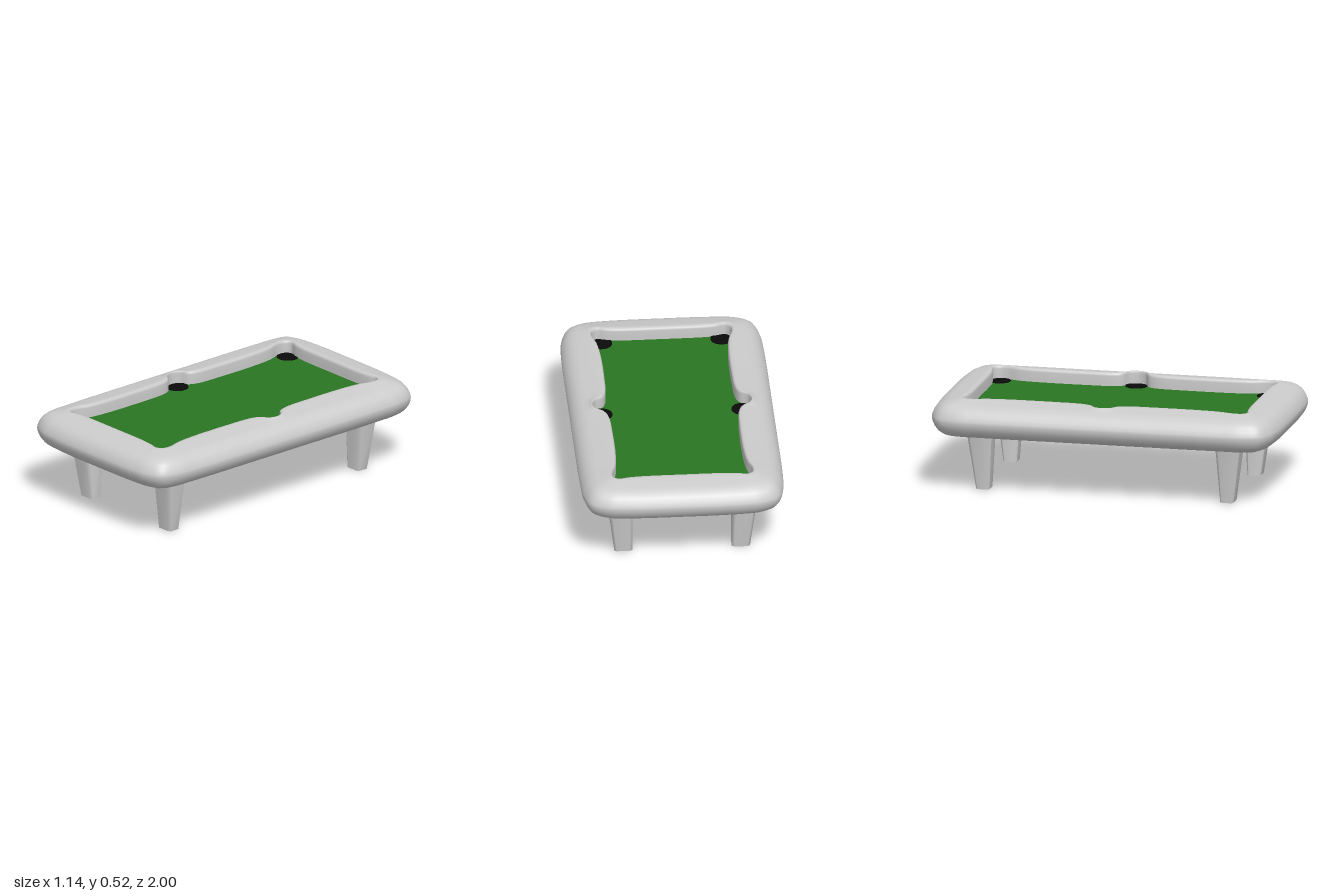
import * as THREE from 'three';

const grey = new THREE.MeshStandardMaterial({ color: 0xcccccc });
const green = new THREE.MeshStandardMaterial({ color: 0x2b7522 });
const black = new THREE.MeshStandardMaterial({ color: 0x0a0a0a });

// One quarter of the plan, from the middle pocket to the end: [inner x, inner z, outer x, outer z]
const quarter = [
  [0.445, 0, 0.572, 0], [0.43, 0.045, 0.572, 0.045], [0.385, 0.077, 0.572, 0.085],
  [0.364, 0.13, 0.572, 0.14], [0.356, 0.3, 0.572, 0.3], [0.358, 0.55, 0.572, 0.55],
  [0.37, 0.67, 0.569, 0.7], [0.391, 0.74, 0.561, 0.825], [0.389, 0.79, 0.527, 0.928],
  [0.36, 0.816, 0.437, 0.978], [0.31, 0.805, 0.345, 0.992], [0.24, 0.797, 0.24, 0.998],
  [0, 0.795, 0, 1],
];

// Rail section from the cushion face over the top to the underside: [from, distance, y]
const section = [
  ['in', 0, 0.43], ['in', 0, 0.47], ['in', 0, 0.508], ['in', 0.003, 0.518], ['in', 0.01, 0.524],
  ['in', 0.025, 0.525], ['in', 0.045, 0.521], ['out', 0.1, 0.51], ['out', 0.075, 0.504],
  ['out', 0.05, 0.492], ['out', 0.028, 0.475], ['out', 0.011, 0.451], ['out', 0.002, 0.428],
  ['out', 0, 0.415], ['out', 0.003, 0.395], ['out', 0.013, 0.372], ['out', 0.03, 0.35],
  ['out', 0.053, 0.333], ['out', 0.08, 0.323], ['out', 0.105, 0.32], ['out', 0.122, 0.325],
];

function railGeometry() {
  // Mirror the quarter into a closed loop
  const flip = (list, sx, sz) => list.map(([a, b, c, d]) => [a * sx, b * sz, c * sx, d * sz]);
  const back = [...quarter].reverse();
  const loop = [
    ...quarter, ...flip(back.slice(1), -1, 1),
    ...flip(quarter.slice(1), -1, -1), ...flip(back.slice(1, -1), 1, -1),
  ];
  const curve = (k) => new THREE.CatmullRomCurve3(
    loop.map((p) => new THREE.Vector3(p[k], 0, p[k + 1])), true);
  const inner = curve(0), outer = curve(2);
  const n = loop.length * 6, m = section.length;
  const pos = [], idx = [];
  for (let i = 0; i < n; i++) {
    const a = inner.getPoint(i / n), b = outer.getPoint(i / n);
    const dir = b.clone().sub(a).normalize();
    // The cushion lip narrows where a pocket cuts into the rail
    const lip = Math.min(1, (a.distanceTo(b) - 0.1) / 0.1);
    for (const [from, d, y] of section) {
      const p = from === 'in' ? a.clone().addScaledVector(dir, d * lip) : b.clone().addScaledVector(dir, -d);
      pos.push(p.x, y, p.z);
    }
    const next = ((i + 1) % n) * m;
    for (let j = 0; j < m - 1; j++) {
      const p = i * m + j, q = next + j;
      idx.push(p, q, q + 1, p, q + 1, p + 1);
    }
  }
  const geo = new THREE.BufferGeometry();
  geo.setAttribute('position', new THREE.Float32BufferAttribute(pos, 3));
  geo.setIndex(idx);
  geo.computeVertexNormals();
  return geo;
}

// Tapered leg with softened corners, narrower and set further in at the foot
function legGeometry(sx, sz) {
  const geo = new THREE.CylinderGeometry(1, 1, 1, 8, 1);
  const p = geo.attributes.position;
  const c = 0.72;
  const corner = [[1, c], [c, 1], [-c, 1], [-1, c], [-1, -c], [-c, -1], [c, -1], [1, -c]];
  for (let i = 0; i < p.count; i++) {
    const x = p.getX(i), z = p.getZ(i), top = p.getY(i) > 0;
    const k = Math.round(Math.atan2(z, x) / (Math.PI / 4));
    const [u, v] = Math.hypot(x, z) < 0.01 ? [0, 0] : corner[(k + 8) % 8];
    const [cx, cz, hx, hz] = top ? [0.352, 0.715, 0.072, 0.073] : [0.33, 0.702, 0.051, 0.038];
    p.setXYZ(i, sx * cx + u * hx, top ? 0.345 : 0, sz * cz + v * hz);
  }
  geo.computeVertexNormals();
  return geo;
}

export function createModel() {
  const model = new THREE.Group();
  const add = (name, geo, mat, x = 0, y = 0, z = 0) => {
    const mesh = new THREE.Mesh(geo, mat);
    mesh.name = name;
    mesh.position.set(x, y, z);
    model.add(mesh);
  };

  add('rail', railGeometry(), grey);

  // Playing bed, its edges hidden inside the rail
  add('bed', new THREE.BoxGeometry(0.92, 0.127, 1.78), green, 0, 0.3865, 0);

  // Pockets and legs
  for (const sx of [1, -1]) {
    for (const sz of [1, 0, -1]) {
      add(sz ? 'cornerPocket' : 'sidePocket', new THREE.CylinderGeometry(0.062, 0.062, 0.01, 32), black,
        sx * (sz ? 0.338 : 0.396), 0.449, sz * 0.772);
      if (sz) add('leg', legGeometry(sx, sz), grey);
    }
  }
  return model;
}
